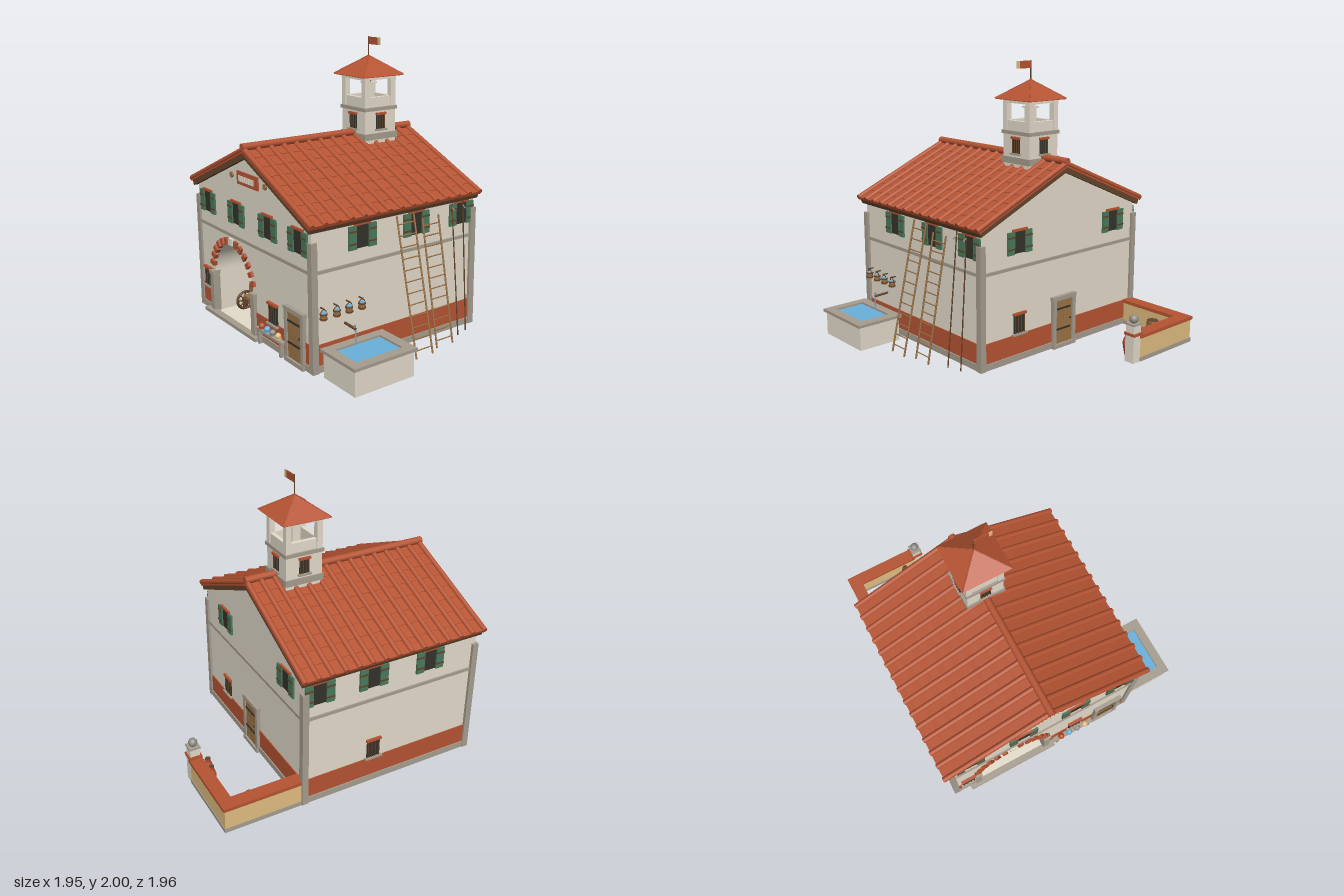
import * as THREE from 'three';

const mat = (name, color) => Object.assign(new THREE.MeshStandardMaterial({ color }), { name });
const cream = mat('plaster', 0xe4dccb), stone = mat('stone', 0xa69d8e), red = mat('terracotta', 0xb65433),
  wood = mat('wood', 0x9c7347), brown = mat('darkWood', 0x64452c), dark = mat('shadowDark', 0x34322a),
  green = mat('shutterGreen', 0x4a795c), blue = mat('water', 0x6ab0da), tan = mat('ochre', 0xe0bd80), iron = mat('iron', 0x8f8f89);

function add(parent, name, geo, m, x = 0, y = 0, z = 0) {
  const mesh = new THREE.Mesh(geo, m);
  mesh.name = name;
  mesh.position.set(x, y, z);
  parent.add(mesh);
  return mesh;
}
// box given by its min and max on each axis
const box = (p, name, m, x0, x1, y0, y1, z0, z1) =>
  add(p, name, new THREE.BoxGeometry(x1 - x0, y1 - y0, z1 - z0), m, (x0 + x1) / 2, (y0 + y1) / 2, (z0 + z1) / 2);
// straight round bar between two points
function rod(p, name, m, a, b, r, sides = 8) {
  const A = new THREE.Vector3(...a), B = new THREE.Vector3(...b), d = B.clone().sub(A);
  const mesh = add(p, name, new THREE.CylinderGeometry(r, r, d.length(), sides), m, ...A.clone().add(B).multiplyScalar(0.5).toArray());
  mesh.quaternion.setFromUnitVectors(new THREE.Vector3(0, 1, 0), d.normalize());
  return mesh;
}
const disc = (p, name, m, r, h, x, y, z) => add(p, name, new THREE.CylinderGeometry(r, r, h, 16), m, x, y, z);
const lathe = (p, name, m, pts, x, y, z) =>
  add(p, name, new THREE.LatheGeometry(pts.map(q => new THREE.Vector2(...q)), 16), m, x, y, z);
function group(p, name, x = 0, y = 0, z = 0, ry = 0) {
  const g = new THREE.Group();
  g.name = name;
  g.position.set(x, y, z);
  g.rotation.y = ry;
  p.add(g);
  return g;
}
function barrel(p, name, r, h, lid) {
  const g = group(p, name);
  lathe(g, 'staves', wood, [[r * 0.9, 0], [r * 0.97, h * 0.25], [r, h / 2], [r * 0.97, h * 0.75], [r * 0.9, h]], 0, 0, 0);
  disc(g, 'barrelEnds', lid, r * 0.9, h, 0, h / 2, 0);
  for (const [t, s] of [[0.12, 0.95], [0.35, 1.01], [0.65, 1.01], [0.88, 0.95]]) disc(g, 'hoop', brown, r * s, h * 0.05, 0, h * t, 0);
  return g;
}

// openings, built facing +z with the wall surface at z = 0
function shutterWindow(p, x, z, ry) {
  const g = group(p, 'shutterWindow', x, 0, z, ry);
  box(g, 'opening', dark, -0.055, 0.055, 0.76, 0.912, -0.01, 0.004);
  box(g, 'lintel', red, -0.066, 0.066, 0.912, 0.928, -0.01, 0.014);
  for (const s of [-1, 1]) {
    const c = s * 0.078;
    box(g, 'shutter', green, c - 0.03, c + 0.03, 0.757, 0.912, 0, 0.014);
    for (const y of [0.79, 0.87]) box(g, 'hinge', brown, c - 0.03, c + 0.03, y, y + 0.012, 0.01, 0.018);
  }
}
function barredWindow(p, x, y, z, ry, w = 0.1, h = 0.13) {
  const g = group(p, 'barredWindow', x, y, z, ry);
  box(g, 'opening', dark, -w / 2, w / 2, 0, h, -0.01, 0.004);
  box(g, 'lintel', red, -w * 0.58, w * 0.58, h, h + 0.016, -0.01, 0.016);
  box(g, 'sill', stone, -w * 0.66, w * 0.66, -0.012, 0, -0.01, 0.02);
  for (let i = -1.5; i < 2; i++) rod(g, 'bar', brown, [i * w * 0.28, 0, 0.008], [i * w * 0.28, h, 0.008], 0.0035, 6);
}
function door(p, x, z, ry) {
  const g = group(p, 'door', x, 0, z, ry);
  for (const s of [-1, 1]) box(g, 'jamb', stone, s * 0.095 - 0.015, s * 0.095 + 0.015, 0.02, 0.35, -0.01, 0.022);
  box(g, 'lintel', stone, -0.115, 0.115, 0.35, 0.38, -0.01, 0.024);
  box(g, 'doorstep', stone, -0.11, 0.11, 0, 0.03, -0.01, 0.028);
  for (let i = 0; i < 4; i++) box(g, 'plank', wood, -0.08 + i * 0.04, -0.042 + i * 0.04, 0.03, 0.35, -0.01, 0.013);
  for (const y of [0.13, 0.28]) box(g, 'strap', dark, -0.078, 0.06, y, y + 0.013, 0.01, 0.018);
  add(g, 'handle', new THREE.SphereGeometry(0.008, 8, 6), dark, 0.06, 0.2, 0.018);
}

function buildHouse(p) {
  const gable = () => new THREE.Shape([[-0.92, 0.002], [0.56, 0.002], [0.56, 0.965], [-0.18, 1.285], [-0.92, 0.965]].map(q => new THREE.Vector2(...q)));
  const front = gable(), arch = new THREE.Path();
  arch.moveTo(-0.71, 0.012).lineTo(-0.17, 0.012).lineTo(-0.17, 0.32).absarc(-0.44, 0.32, 0.27, 0, Math.PI, false).lineTo(-0.71, 0.012);
  front.holes.push(arch);
  const wall = (s, depth, z) => add(p, 'walls', new THREE.ExtrudeGeometry(s, { depth, bevelEnabled: false, curveSegments: 24 }), cream, 0, 0, z);
  wall(gable(), 0.805, -0.405);
  wall(front, 0.53, 0.4);
  // stone footing and painted plinth, leaving the arch open
  for (const [name, m, y0, y1, o] of [['footing', stone, 0.005, 0.05, 0.014], ['plinth', red, 0.05, 0.19, 0.006]]) {
    box(p, name, m, -0.92 - o, 0.56 + o, y0, y1, -0.405 - o, 0.395);
    box(p, name, m, -0.92 - o, -0.715, y0, y1, 0.395, 0.93 + o);
    box(p, name, m, -0.165, 0.56 + o, y0, y1, 0.395, 0.93 + o);
  }
  box(p, 'bayUnderside', dark, -0.72, -0.16, 0, 0.008, 0.25, 0.81);
  box(p, 'threshold', stone, -0.81, -0.08, 0, 0.025, 0.93, 0.98);
  box(p, 'stringCourse', stone, -0.93, 0.57, 0.653, 0.675, -0.415, 0.94);
  for (const x of [-0.94, 0.535]) for (const z of [-0.422, 0.9]) box(p, 'cornerPillar', stone, x, x + 0.045, 0.004, 0.86, z, z + 0.045);
  // arch surround
  for (const x of [-0.757, -0.172]) {
    box(p, 'archPier', stone, x, x + 0.049, 0.004, 0.3, 0.9, 0.955);
    box(p, 'archCapital', stone, x - 0.006, x + 0.055, 0.3, 0.325, 0.9, 0.962);
  }
  for (let i = -6; i <= 6; i++) {
    const a = i * 0.223, k = i === 0;
    add(p, k ? 'keystone' : 'archBrick', new THREE.BoxGeometry(k ? 0.05 : 0.036, 0.05, 0.03), k ? cream : red,
      -0.44 + Math.sin(a) * 0.293, 0.32 + Math.cos(a) * 0.293, 0.935).rotation.z = -a;
  }
  // openings
  for (const x of [-0.77, -0.355, 0.06, 0.42]) shutterWindow(p, x, 0.93, 0);
  for (const x of [-0.69, 0.23]) shutterWindow(p, x, -0.405, Math.PI);
  for (const z of [0.55, 0.107, -0.295]) {
    shutterWindow(p, 0.56, z, Math.PI / 2);
    shutterWindow(p, -0.92, z, -Math.PI / 2);
  }
  barredWindow(p, 0.1, 0.185, 0.937, 0);
  barredWindow(p, -0.81, 0.185, 0.937, 0);
  barredWindow(p, 0.23, 0.2, -0.407, Math.PI);
  barredWindow(p, -0.923, 0.2, 0.13, -Math.PI / 2);
  door(p, 0.375, 0.935, 0);
  door(p, -0.185, -0.41, Math.PI);
  // gable ornament
  box(p, 'gablePanel', red, -0.316, -0.043, 1.06, 1.15, 0.925, 0.942);
  box(p, 'gablePanelInset', red, -0.288, -0.071, 1.075, 1.135, 0.94, 0.946);
  for (let i = 0; i < 7; i++) box(p, 'panelSlat', cream, -0.28 + i * 0.029, -0.257 + i * 0.029, 1.085, 1.125, 0.944, 0.95);
  for (const x of [-0.397, 0.042]) rod(p, 'gableBoss', wood, [x, 1.105, 0.92], [x, 1.105, 0.942], 0.02, 16);
}

function buildRoof(p) {
  const L = 0.862, rows = 8, step = L / rows;
  for (const ry of [0, Math.PI]) {
    const slope = group(group(p, 'roofSide', -0.18, 1.325, 0.265, ry), 'slope');
    slope.rotation.z = -Math.atan2(0.34, 0.785);
    box(slope, 'roofDeck', brown, 0, L - 0.006, -0.064, -0.03, -0.695, 0.695);
    box(slope, 'tileBed', red, 0, L, -0.03, -0.014, -0.705, 0.705);
    for (let r = 0; r < rows; r++)
      add(slope, 'panTiles', new THREE.BoxGeometry(step + 0.006, 0.01, 1.4), red, (r + 0.5) * step, -0.012, 0).rotation.z = 0.035;
    for (let i = 0; i < 15; i++) {
      const z = -0.69 + i * 0.0986;
      rod(slope, 'capTiles', red, [0, -0.006, z], [L + 0.006, -0.006, z], 0.019, 10);
    }
  }
  rod(p, 'ridgeTile', red, [-0.18, 1.332, -0.442], [-0.18, 1.332, 0.972], 0.026, 12);
}

function buildTower(p) {
  const t = group(p, 'bellTower', -0.18, 0, -0.07);
  const sq = (name, m, h, y0, y1) => box(t, name, m, -h, h, y0, y1, -h, h);
  sq('towerBody', cream, 0.135, 1.15, 1.49);
  sq('towerCollar', stone, 0.144, 1.285, 1.33);
  sq('towerCornice', stone, 0.145, 1.49, 1.515);
  for (let i = 0; i < 4; i++) {
    const g = group(t, 'towerSide', 0, 0, 0, i * Math.PI / 2);
    barredWindow(g, 0, 1.36, 0.135, 0, 0.075, 0.1);
    box(g, 'parapet', cream, -0.13, 0.13, 1.515, 1.585, 0.1, 0.13);
    box(g, 'belfryPost', cream, 0.095, 0.137, 1.515, 1.71, 0.095, 0.137);
    box(g, 'belfryBeam', cream, -0.138, 0.138, 1.708, 1.737, 0.1, 0.138);
  }
  box(t, 'bellStand', cream, -0.03, 0.03, 1.515, 1.67, -0.03, 0.03);
  box(t, 'standCap', cream, -0.042, 0.042, 1.67, 1.682, -0.042, 0.042);
  lathe(t, 'bell', brown, [[0, 1.682], [0.018, 1.682], [0.026, 1.697], [0.042, 1.715], [0, 1.715]], 0, 0, 0);
  rod(t, 'bellBeam', brown, [-0.12, 1.72, 0], [0.12, 1.72, 0], 0.008);
  sq('towerEave', red, 0.174, 1.73, 1.738);
  const cap = new THREE.ConeGeometry(0.18 * Math.SQRT2, 0.13, 4).toNonIndexed();
  cap.computeVertexNormals();
  add(t, 'towerRoof', cap, red, 0, 1.801, 0).rotation.y = Math.PI / 4;
  for (const x of [-1, 1]) for (const z of [-1, 1]) rod(t, 'hipTile', red, [x * 0.178, 1.737, z * 0.178], [0, 1.867, 0], 0.004, 6);
  rod(t, 'flagpole', brown, [0, 1.86, 0], [0, 2, 0], 0.004, 6);
  box(t, 'flag', red, 0, 0.106, 1.945, 1.997, -0.003, 0.003);
  box(t, 'flagTip', tan, 0.106, 0.132, 1.945, 1.997, -0.003, 0.003);
}

function buildCart(p) {
  const c = group(p, 'pumpCart', -0.435, 0.015, 0.68);
  const b = barrel(c, 'tank', 0.072, 0.2, wood);
  b.rotation.x = Math.PI / 2;
  b.position.set(0, 0.205, -0.1);
  box(c, 'bed', wood, -0.115, 0.115, 0.115, 0.137, -0.12, 0.12);
  for (const s of [-1, 1]) {
    box(c, 'beam', brown, s * 0.09 - 0.012, s * 0.09 + 0.012, 0.095, 0.115, -0.13, 0.14);
    rod(c, 'strut', brown, [s * 0.11, 0.115, 0.1], [s * 0.03, 0.04, 0.1], 0.008);
    for (const z of [-0.08, 0.08]) {
      const w = group(c, 'wheel', s * 0.163, 0.075, z, Math.PI / 2);
      add(w, 'rim', new THREE.TorusGeometry(0.064, 0.011, 6, 20), brown);
      for (let k = 0; k < 4; k++) {
        const a = k * Math.PI / 4, x = Math.cos(a) * 0.06, y = Math.sin(a) * 0.06;
        rod(w, 'spoke', brown, [-x, -y, 0], [x, y, 0], 0.005, 6);
      }
    }
    rod(c, 'pumpPost', brown, [s * 0.058, 0.13, 0], [s * 0.058, 0.325, 0], 0.007);
    rod(c, 'pumpHandle', brown, [s * 0.132, 0.325, 0], [s * 0.132, 0.38, 0], 0.006);
    rod(c, 'grip', wood, [s * 0.132, 0.38, -0.07], [s * 0.132, 0.38, 0.07], 0.008);
    add(c, 'bucket', new THREE.CylinderGeometry(0.024, 0.018, 0.06, 12), brown, s * 0.2, 0.035, 0.06);
  }
  for (const z of [-0.08, 0.08]) rod(c, 'axle', brown, [-0.18, 0.075, z], [0.18, 0.075, z], 0.008);
  rod(c, 'rockerBar', wood, [-0.138, 0.325, 0], [0.138, 0.325, 0], 0.009);
  for (const y of [0.148, 0.166])
    add(c, 'hoseCoil', new THREE.TorusGeometry(0.03, 0.011, 6, 16), brown, 0.055, y, 0.115).rotation.x = Math.PI / 2;
}

function buildFountain(p) {
  const f = group(p, 'trough');
  box(f, 'basin', cream, 0.63, 0.955, 0, 0.165, 0.445, 0.9);
  for (const [x0, x1, z0, z1] of [[0.615, 0.68, 0.43, 0.915], [0.905, 0.972, 0.43, 0.915], [0.68, 0.905, 0.43, 0.5], [0.68, 0.905, 0.85, 0.915]])
    box(f, 'rim', stone, x0, x1, 0.172, 0.193, z0, z1);
  box(f, 'water', blue, 0.68, 0.905, 0.16, 0.18, 0.5, 0.85);
  rod(f, 'spout', brown, [0.55, 0.285, 0.685], [0.672, 0.28, 0.685], 0.009);
  rod(f, 'tap', iron, [0.665, 0.27, 0.685], [0.665, 0.305, 0.685], 0.007);
  rod(f, 'jet', blue, [0.672, 0.17, 0.685], [0.672, 0.275, 0.685], 0.005);
}

function buildSideGear(p) {
  for (const z of [0.87, 0.77, 0.675, 0.575]) {
    const b = group(p, 'fireBucket', 0.592, 0.36, z);
    add(b, 'pail', new THREE.CylinderGeometry(0.024, 0.02, 0.048, 12), wood, 0, 0.025, 0);
    for (const y of [0.012, 0.042]) disc(b, 'band', brown, 0.0255, 0.008, 0, y, 0);
    disc(b, 'bucketWater', blue, 0.02, 0.004, 0, 0.0485, 0);
    add(b, 'bail', new THREE.TorusGeometry(0.021, 0.003, 6, 12, Math.PI), brown, 0, 0.047, 0).rotation.y = Math.PI / 2;
    rod(b, 'peg', brown, [-0.04, 0.075, 0], [0.012, 0.075, 0], 0.005, 6);
  }
  for (const [z, foot, top] of [[0.217, 0.795, 0.92], [0, 0.75, 0.87]]) {
    const g = group(p, 'ladder', 0, 0, z);
    for (const s of [-0.07, 0.07]) rod(g, 'rail', wood, [foot, 0.005, s], [0.583, top, s], 0.0065, 6);
    for (let t = 0.06; t < 0.96; t += 0.08) {
      const x = foot + (0.583 - foot) * t;
      rod(g, 'rung', wood, [x, top * t, -0.07], [x, top * t, 0.07], 0.0045, 6);
    }
  }
  for (const [z, foot] of [[-0.19, 0.675], [-0.29, 0.645]]) {
    rod(p, 'hookPole', brown, [foot, 0, z], [0.585, 0.93, z], 0.0045, 6);
    rod(p, 'poleHook', iron, [0.585, 0.9, z], [0.615, 0.88, z], 0.004, 6);
  }
  // bench with a row of helmets
  box(p, 'benchTop', stone, -0.085, 0.255, 0.095, 0.112, 0.938, 0.972);
  for (const x of [-0.06, 0.215]) box(p, 'benchLeg', stone, x, x + 0.02, 0, 0.095, 0.942, 0.969);
  [red, blue, iron, tan].forEach((m, i) => {
    const x = -0.018 + i * 0.069;
    add(p, 'helmet', new THREE.SphereGeometry(0.022, 14, 10), m, x, 0.136, 0.957);
    disc(p, 'helmetBrim', m, 0.025, 0.005, x, 0.122, 0.957);
  });
}

function buildYard(p) {
  const y = group(p, 'yard');
  for (const [x0, x1, z0, z1] of [[-0.925, -0.845, -0.97, -0.41], [-0.845, -0.37, -0.97, -0.895]]) {
    box(y, 'yardFooting', stone, x0 - 0.005, x1 + 0.005, 0, 0.03, z0 - 0.005, z1 + 0.005);
    box(y, 'yardWall', tan, x0, x1, 0.03, 0.17, z0, z1);
    box(y, 'yardCoping', red, x0 - 0.008, x1 + 0.008, 0.168, 0.192, z0 - 0.01, z1 + 0.008);
  }
  box(y, 'gatePillar', cream, -0.375, -0.3, 0, 0.192, -0.97, -0.895);
  box(y, 'pillarCoping', red, -0.384, -0.294, 0.192, 0.21, -0.979, -0.887);
  box(y, 'pillarBlock', cream, -0.372, -0.302, 0.21, 0.272, -0.968, -0.898);
  box(y, 'pillarCap', stone, -0.377, -0.297, 0.265, 0.277, -0.973, -0.893);
  add(y, 'pillarBall', new THREE.SphereGeometry(0.031, 16, 12), iron, -0.337, 0.303, -0.933);
  barrel(y, 'yardBarrel', 0.047, 0.125, brown).position.set(-0.8, 0, -0.73);
  for (const [x, z] of [[-0.47, -0.862], [-0.38, -0.848]]) {
    lathe(y, 'jar', red, [[0, 0], [0.016, 0], [0.03, 0.07], [0.034, 0.1], [0.026, 0.13], [0.016, 0.145], [0.023, 0.168]], x, 0, z);
    disc(y, 'jarMouth', brown, 0.02, 0.004, x, 0.165, z);
  }
}

export function createModel() {
  const model = new THREE.Group();
  model.name = 'fireStation';
  for (const build of [buildHouse, buildRoof, buildTower, buildCart, buildFountain, buildSideGear, buildYard]) build(model);
  return model;
}
